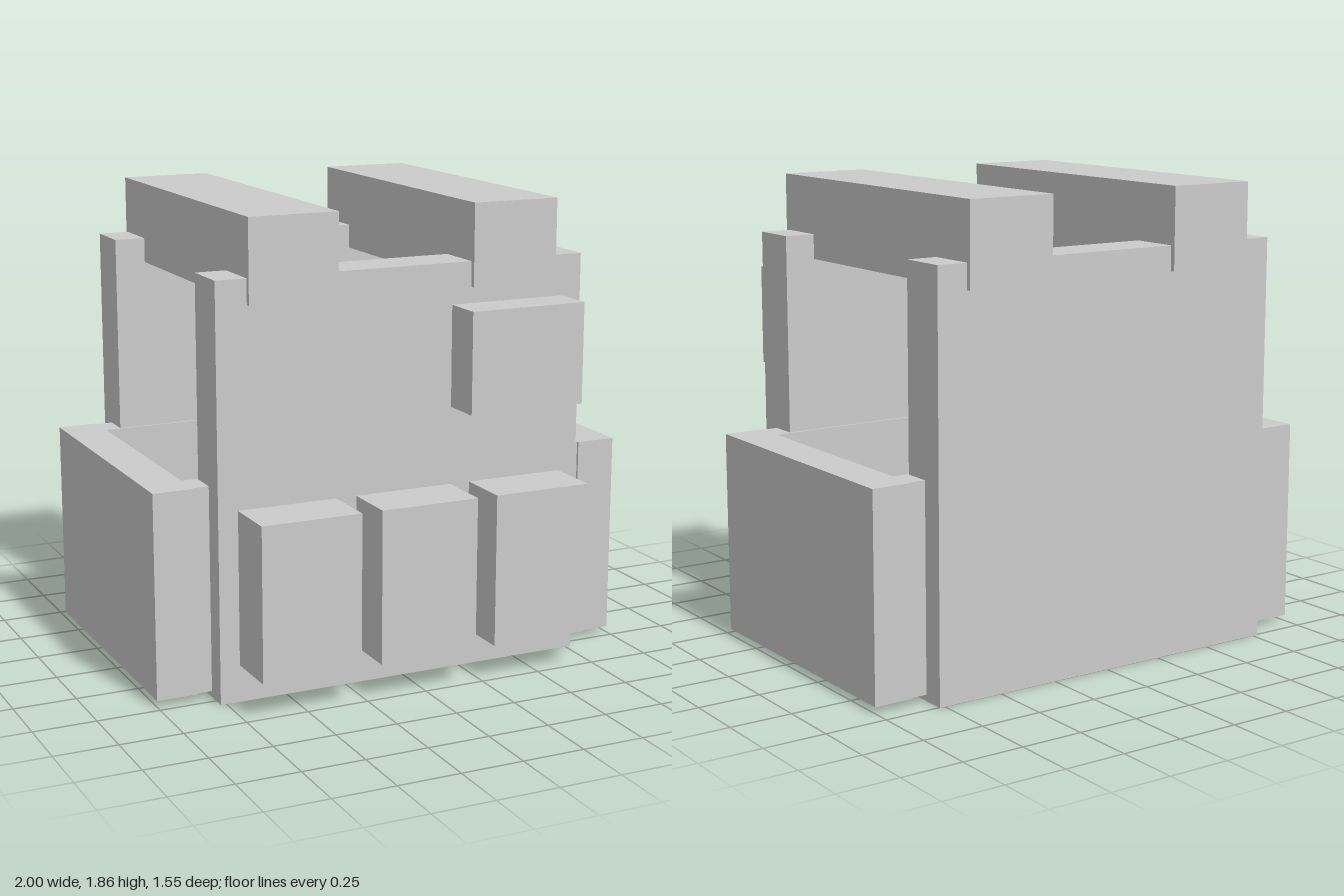
import * as THREE from 'three';

export function createModel() {
  const vest = new THREE.Group();
  vest.name = 'vest';
  const material = new THREE.MeshStandardMaterial({ color: 0xcccccc, flatShading: true });

  // Box given by its extents along each axis
  function block(name, [x0, x1], [y0, y1], [z0, z1]) {
    const mesh = new THREE.Mesh(new THREE.BoxGeometry(x1 - x0, y1 - y0, z1 - z0), material);
    mesh.position.set((x0 + x1) / 2, (y0 + y1) / 2, (z0 + z1) / 2);
    mesh.name = name;
    vest.add(mesh);
  }

  // Chest and back plates
  block('frontPlate', [-0.773, 0.773], [0, 1.633], [0.348, 0.548]);
  block('backPlate', [-0.773, 0.773], [0, 1.633], [-0.755, -0.554]);

  // Waist belt: bands through the plates, closed by thick side panels
  const beltHeight = [0.025, 0.84];
  block('frontBeltBand', [-0.837, 0.837], beltHeight, [0.338, 0.457]);
  block('backBeltBand', [-0.837, 0.837], beltHeight, [-0.664, -0.545]);
  block('leftSidePanel', [0.837, 1], beltHeight, [-0.673, 0.467]);
  block('rightSidePanel', [-1, -0.837], beltHeight, [-0.673, 0.467]);

  // Shoulder straps
  block('leftShoulderStrap', [0.285, 0.648], [1.534, 1.86], [-0.775, 0.568]);
  block('rightShoulderStrap', [-0.648, -0.285], [1.534, 1.86], [-0.775, 0.568]);

  // Row of lower pouches
  for (const x of [-0.49, 0, 0.49]) {
    block('lowerPouch', [x - 0.203, x + 0.203], [0.148, 0.758], [0.5, 0.775]);
  }

  // Chest pouch on the left
  block('chestPouch', [0.203, 0.692], [1.068, 1.47], [0.5, 0.715]);

  return vest;
}
